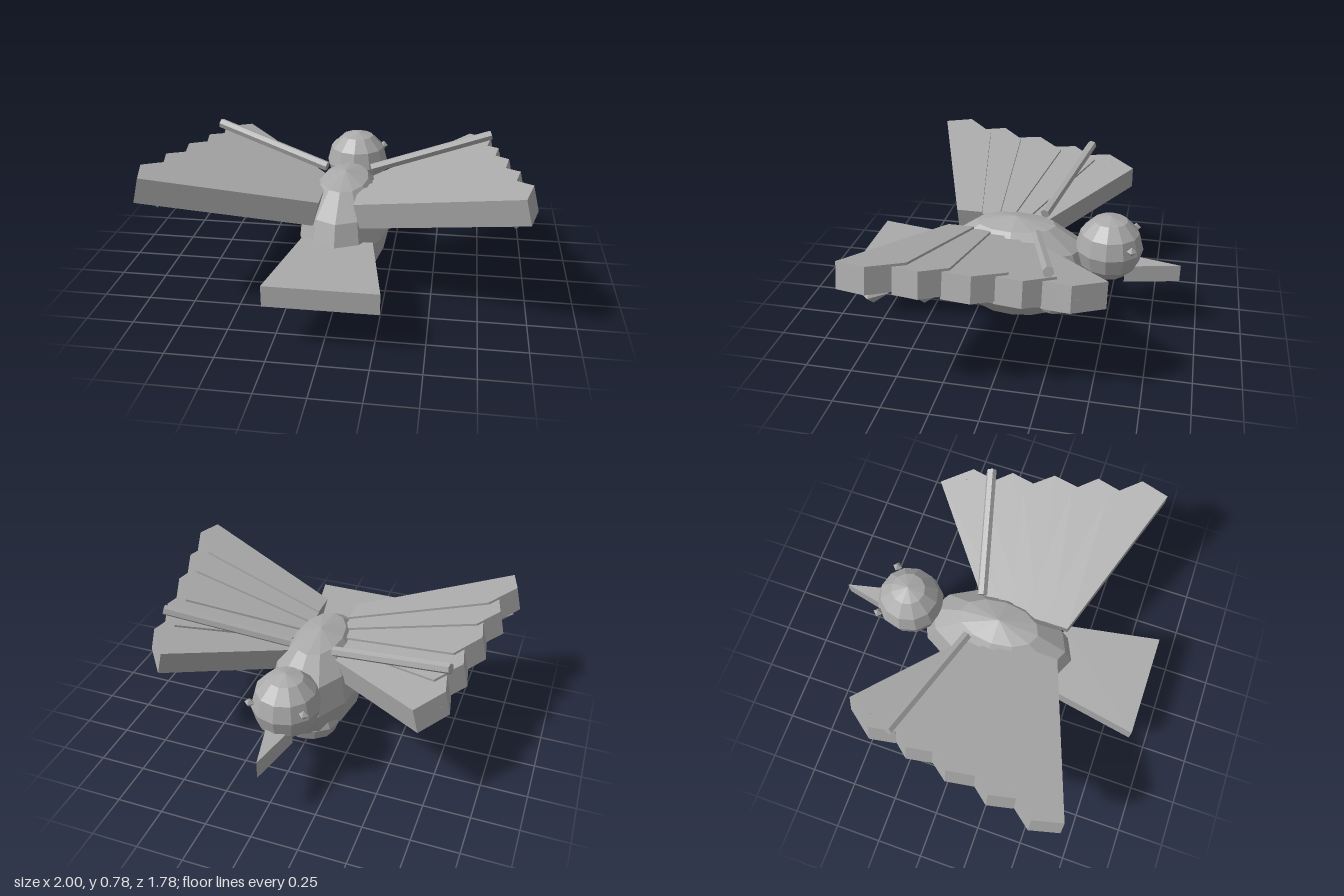
import * as THREE from 'three';

export function createModel() {
  const bird = new THREE.Group();
  bird.name = 'bird';
  const grey = new THREE.MeshStandardMaterial({ color: 0xaaaaaa, flatShading: true });
  grey.name = 'plain grey';

  const add = (parent, name, geometry, x = 0, y = 0, z = 0) => {
    const mesh = new THREE.Mesh(geometry, grey);
    mesh.name = name;
    mesh.position.set(x, y, z);
    parent.add(mesh);
    return mesh;
  };
  const ellipsoid = (rx, ry, rz) => new THREE.SphereGeometry(1, 12, 6).scale(rx, ry, rz);

  // Horizontal plate from a plan outline of [x, z] points, rising from y = 0
  const plate = (points, thickness) => {
    const shape = new THREE.Shape(points.map(([x, z]) => new THREE.Vector2(x, -z)));
    return new THREE.ExtrudeGeometry(shape, { depth: thickness, bevelEnabled: false }).rotateX(-Math.PI / 2);
  };

  // Body, breast and head
  add(bird, 'body', ellipsoid(0.25, 0.305, 0.445), 0, 0.305, 0.025);
  add(bird, 'breast', ellipsoid(0.185, 0.13, 0.14), 0, 0.165, -0.205);
  add(bird, 'head', ellipsoid(0.182, 0.185, 0.185), 0, 0.475, -0.495);

  // Beak and tail
  add(bird, 'beak', plate([[-0.068, -0.59], [0.068, -0.59], [0, -0.887]], 0.097), 0, 0.3, 0);
  add(bird, 'tail', plate([[-0.19, 0.36], [0.19, 0.36], [0.285, 0.888], [-0.285, 0.888]], 0.11), 0, 0.235, 0);

  // Feather outlines, rear to front: root, leading corner, tip, trailing corner, root
  const feathers = [
    [[0.09, 0.24], [0.84, 0.365], [0.967, 0.52], [0.927, 0.675], [0.09, 0.385]],
    [[0.09, 0.14], [0.815, 0.165], [0.915, 0.285], [0.885, 0.42], [0.09, 0.3]],
    [[0.09, 0.07], [0.75, -0.1], [0.865, 0.05], [0.84, 0.2], [0.09, 0.22]],
    [[0.09, 0.0], [0.7, -0.32], [0.815, -0.18], [0.79, -0.04], [0.09, 0.14]],
    [[0.09, -0.1], [0.655, -0.555], [0.775, -0.4], [0.75, -0.26], [0.09, 0.03]],
  ];
  const tilt = 0.24;
  const thickness = 0.135;

  for (const s of [1, -1]) {
    const side = s > 0 ? 'left' : 'right';

    // Raised wing, each feather a little lower than the one behind it
    const wing = new THREE.Group();
    wing.name = side + 'Wing';
    wing.position.y = 0.543;
    wing.rotation.z = s * tilt;
    bird.add(wing);
    feathers.forEach((outline, i) => {
      const points = outline.map(([x, z]) => [s * x / Math.cos(tilt), z]);
      add(wing, side + 'Feather', plate(points, thickness), 0, -thickness - 0.0125 * i, 0);

      // Pointed stud set into the feather tip
      const stud = new THREE.OctahedronGeometry(1).scale(0.07, 0.062, 0.08);
      add(bird, side + 'FeatherStud', stud, s * (0.9 - 0.045 * i), 0.61, 0.52 - 0.235 * i);
    });

    // Wing bone lying across the top of the feathers
    const start = new THREE.Vector3(s * 0.125, 0.572, -0.115);
    const end = new THREE.Vector3(s * 0.782, 0.742, -0.29);
    const along = end.clone().sub(start);
    const bone = add(bird, side + 'WingBone', new THREE.CylinderGeometry(0.028, 0.028, along.length(), 6));
    bone.position.copy(start).lerp(end, 0.5);
    bone.quaternion.setFromUnitVectors(new THREE.Vector3(0, 1, 0), along.normalize());

    // Eye
    add(bird, side + 'Eye', new THREE.OctahedronGeometry(0.027), s * 0.145, 0.532, -0.625);
  }
  return bird;
}
